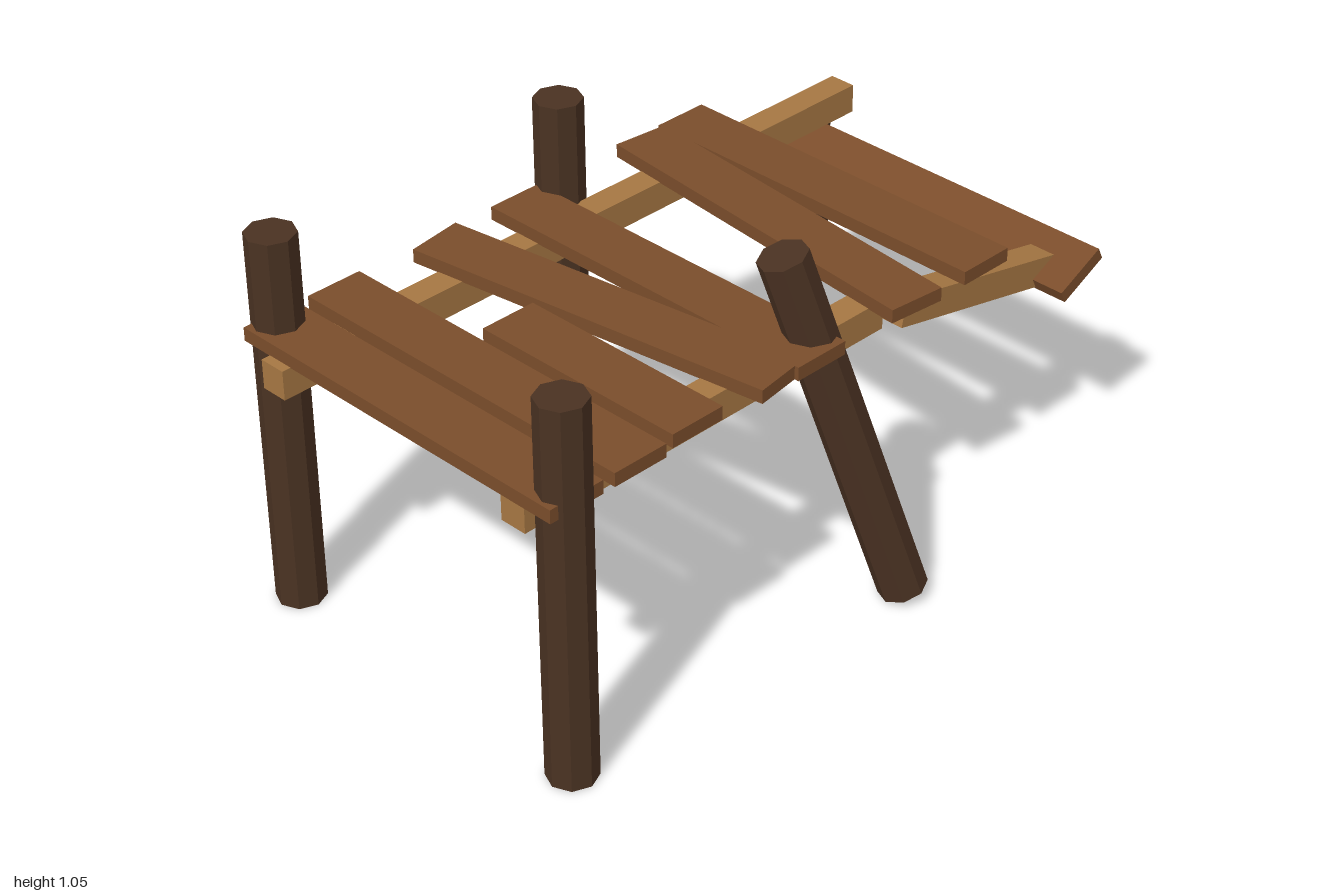
import * as THREE from 'three';

const mat = (name, color) => {
  const m = new THREE.MeshStandardMaterial({ color });
  m.name = name;
  return m;
};

export function createModel() {
  const dock = new THREE.Group();
  dock.name = 'brokenDock';
  const darkWood = mat('dark post wood', 0x4a3222);
  const plankWood = mat('plank wood', 0x7a4d2b);
  const beamWood = mat('pale beam wood', 0xa67743);
  darkWood.flatShading = true;

  const add = (name, geometry, material, pos, rot = [0, 0, 0]) => {
    const mesh = new THREE.Mesh(geometry, material);
    mesh.name = name;
    mesh.position.set(...pos);
    mesh.rotation.set(...rot);
    dock.add(mesh);
  };

  // Octagonal posts: three upright, one snapped short, one leaning
  const post = (name, h, pos, rot) =>
    add(name, new THREE.CylinderGeometry(0.065, 0.065, h, 8), darkWood, pos, rot);
  post('frontLeftPost', 1.05, [0.445, 0.525, 0.9]);
  post('frontRightPost', 1.05, [-0.535, 0.525, 0.9]);
  post('middleRightPost', 1.05, [-0.535, 0.525, -0.015]);
  post('shortBackPost', 0.525, [-0.535, 0.395, -0.935]);
  post('leaningPost', 1.05, [0.447, 0.525, -0.015], [0.26, 0, 0.17]);

  // Long beams under the deck; the left one is broken and its back half sags
  const beam = (name, length, pos, rot) =>
    add(name, new THREE.BoxGeometry(0.076, 0.08, length), beamWood, pos, rot);
  beam('rightBeam', 1.97, [-0.438, 0.73, 0.015]);
  beam('leftBeamFront', 1.175, [0.348, 0.73, 0.378]);
  beam('leftBeamFallen', 0.71, [0.348, 0.621, -0.638], [-0.213, 0, 0]);

  // Deck planks: [x, z, length, yaw]
  const plank = (name, length, pos, rot) =>
    add(name, new THREE.BoxGeometry(length, 0.037, 0.16), plankWood, pos, rot);
  [
    [-0.045, 0.895, 1.05, 0],
    [-0.045, 0.7, 1.05, 0],
    [0.15, 0.505, 0.63, 0],
    [-0.045, 0.31, 1.05, 0.14],
    [-0.045, 0.11, 1.05, 0],
    [-0.045, -0.28, 1.05, -0.1],
    [-0.045, -0.48, 1.05, 0],
  ].forEach(([x, z, length, yaw], i) =>
    plank(`plank${i + 1}`, length, [x, 0.787, z], [0, yaw, 0]));

  // Fallen plank tipped over the sagging beam
  plank('fallenPlank', 1.05, [-0.045, 0.59, -0.871], [0.45, 0, 0]);

  return dock;
}
